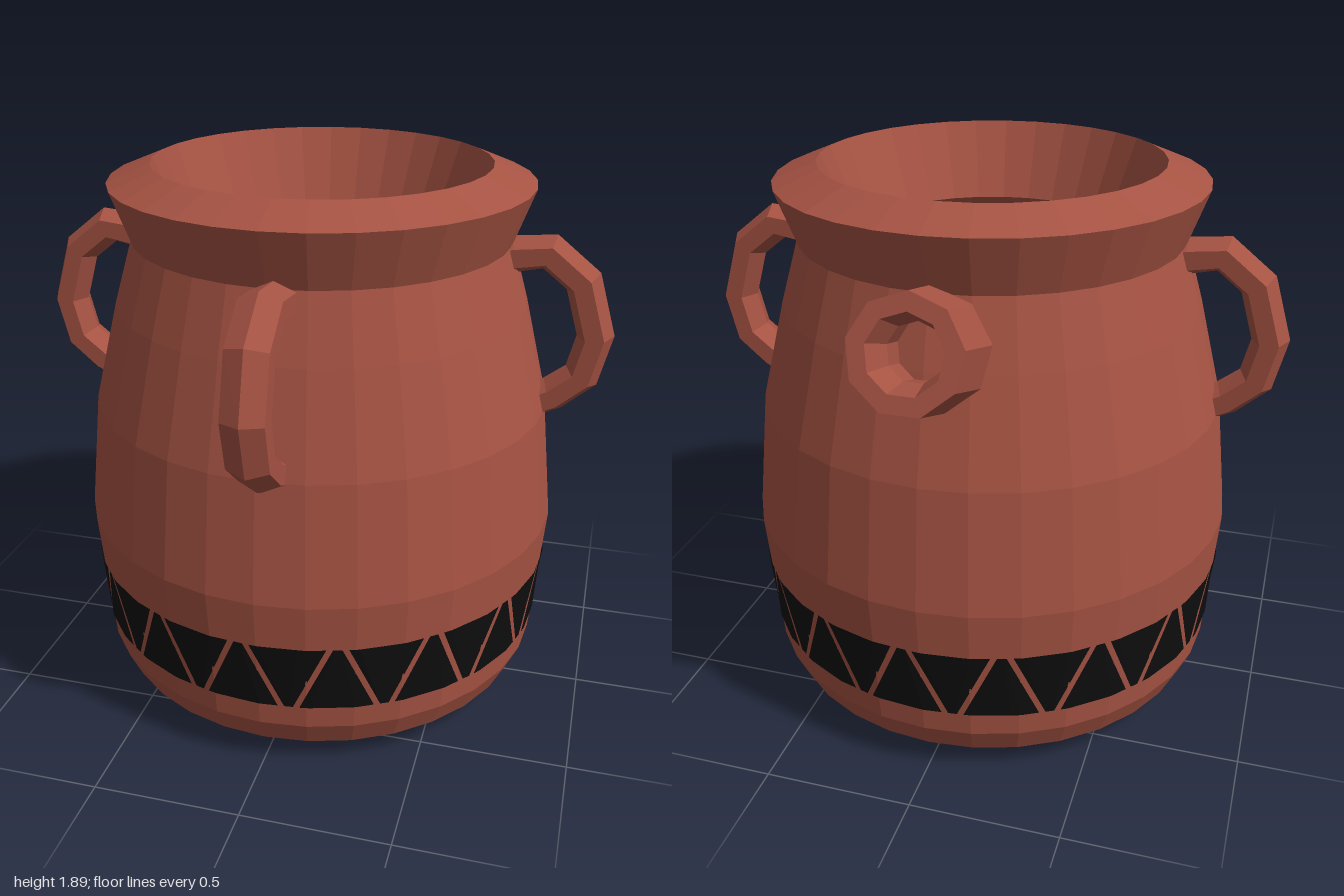
import * as THREE from 'three';

const SIDES = 32;

// Low-poly mesh from loops of points: rows joined into quads
function strip(rows, closed) {
  const pos = rows.flat().flatMap((p) => [p.x, p.y, p.z]);
  const n = rows[0].length, idx = [];
  for (let i = 0; i < rows.length - 1; i++) {
    for (let j = 0; j < (closed ? n : n - 1); j++) {
      const a = i * n + j, b = i * n + ((j + 1) % n), c = a + n, d = b + n;
      idx.push(a, b, d, a, d, c);
    }
  }
  const g = new THREE.BufferGeometry();
  g.setAttribute('position', new THREE.Float32BufferAttribute(pos, 3));
  g.setIndex(idx);
  g.computeVertexNormals();
  return g;
}

const lathe = (pts, sides) =>
  new THREE.LatheGeometry(pts.map(([r, y]) => new THREE.Vector2(r, y)), sides);

// Hexagonal bar swept along a bent ear-shaped path in the yz plane
function handleGeometry() {
  const path = [[0.60, 1.59], [0.66, 1.607], [0.77, 1.622], [0.885, 1.53], [0.94, 1.345],
    [0.905, 1.20], [0.815, 1.125], [0.72, 1.08]].map(([z, y]) => new THREE.Vector3(0, y, z));
  const w = 0.068, h = 0.062;
  const section = [[0, h], [w, h * 0.5], [w, -h * 0.5], [0, -h], [-w, -h * 0.5], [-w, h * 0.5]];
  const rows = path.map((p, i) => {
    const t = path[Math.min(i + 1, path.length - 1)].clone().sub(path[Math.max(i - 1, 0)]).normalize();
    // outward normal, perpendicular to the path
    const ny = t.z, nz = -t.y;
    return section.map(([x, o]) => new THREE.Vector3(x, p.y + ny * o, p.z + nz * o));
  });
  return strip(rows, true);
}

// Painted triangle wrapped around the faceted wall
function triangleGeometry(angle, up) {
  const y0 = 0.27, y1 = 0.51, wide = 0.152, tip = 0.018, cols = 8, seg = (2 * Math.PI) / SIDES;
  const rows = [y0, y1].map((y, k) => {
    const half = (k === 0) === up ? wide : tip;
    const wall = 0.80 + (0.04 * (y - 0.185)) / (0.67 - 0.185);
    return Array.from({ length: cols + 1 }, (_, j) => {
      const a = angle + half * ((2 * j) / cols - 1);
      const inFacet = a - Math.floor(a / seg) * seg - seg / 2;
      const r = (wall * Math.cos(seg / 2)) / Math.cos(inFacet) + 0.005;
      return new THREE.Vector3(r * Math.sin(a), y, r * Math.cos(a));
    });
  });
  return strip(rows, false);
}

export function createModel() {
  const clay = new THREE.MeshStandardMaterial({ color: 0xa65343, flatShading: true, side: THREE.DoubleSide });
  clay.name = 'terracotta';
  const paint = new THREE.MeshStandardMaterial({ color: 0x0e0e0e, flatShading: true, side: THREE.DoubleSide });
  paint.name = 'black paint';

  const model = new THREE.Group();
  model.name = 'clayPot';
  const pot = new THREE.Group();
  pot.name = 'pot';
  pot.position.z = -0.04;
  model.add(pot);
  const add = (geometry, material, name, parent = pot) => {
    const mesh = new THREE.Mesh(geometry, material);
    mesh.name = name;
    parent.add(mesh);
    return mesh;
  };

  // Body, flared rim and hollow inside in one turned profile
  add(lathe([
    [0, 0], [0.54, 0], [0.68, 0.03], [0.757, 0.09], [0.80, 0.185], [0.84, 0.67],
    [0.795, 1.08], [0.77, 1.18], [0.71, 1.42], [0.645, 1.64],
    [0.715, 1.83], [0.57, 1.89],
    [0.47, 1.63], [0.60, 1.45], [0.70, 1.10], [0.75, 0.67], [0.71, 0.2], [0.6, 0.08], [0, 0.08],
  ], SIDES), clay, 'body');

  // Three handles: front, left and right
  const handle = handleGeometry();
  [['frontHandle', 0], ['leftHandle', Math.PI / 2], ['rightHandle', -Math.PI / 2]].forEach(([name, turn]) => {
    const holder = new THREE.Group();
    holder.name = name;
    holder.rotation.y = turn;
    pot.add(holder);
    add(handle, clay, name + 'Bar', holder).position.x = 0.026;
  });

  // Stubby spout at the back, tilted upwards
  const spout = add(lathe([
    [0.10, -0.36], [0.20, -0.36], [0.178, 0], [0.12, 0], [0.09, -0.1], [0.10, -0.36],
  ], 9), clay, 'spout');
  spout.position.set(-0.005, 1.54, -0.875);
  spout.rotation.x = -1.266;

  // Painted band of alternating triangles
  const band = new THREE.Group();
  band.name = 'triangleBand';
  pot.add(band);
  for (let i = 0; i < 32; i++) {
    add(triangleGeometry(-0.072 + (i * Math.PI) / 16, i % 2 === 0), paint, 'paintedTriangle', band);
  }
  return model;
}
